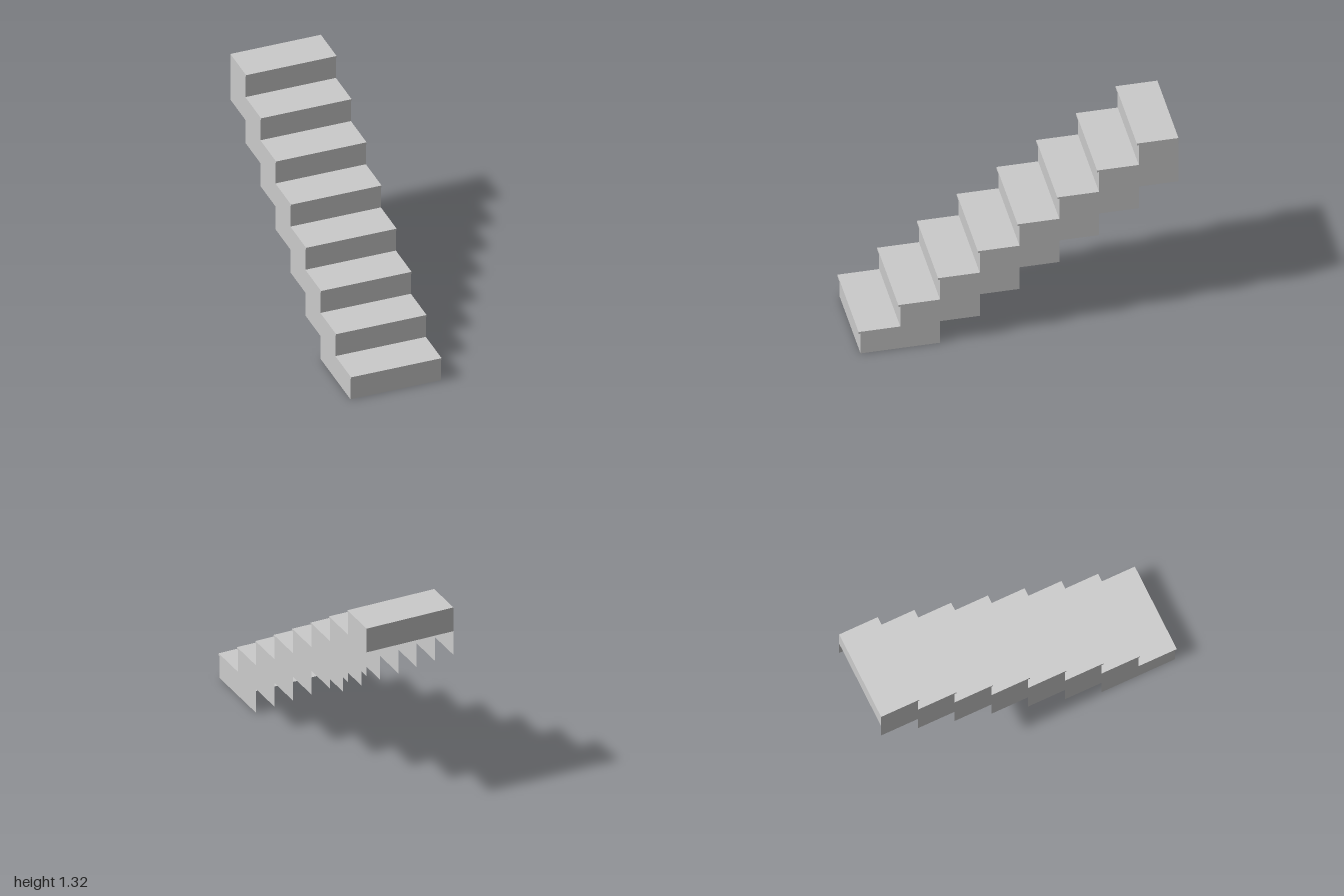
import * as THREE from 'three';

const STEPS = 8;
const HALF = 0.297;          // half the stair width
const RISE = 0.1654;
const RUN = 0.2485;
const FRONT = 0.988;         // z of the first riser
const NOSE = 0.012;          // nosing overhang
const NOSE_H = 0.014;        // nosing height

const material = new THREE.MeshStandardMaterial({
  color: 0xcccccc, flatShading: true, side: THREE.DoubleSide,
});
const riserZ = (i) => FRONT - i * RUN;

// Sheet spanning the stair width along a [z, y] profile
function sheet(name, profile) {
  const pos = [];
  for (let i = 0; i + 1 < profile.length; i++) {
    const [[z0, y0], [z1, y1]] = [profile[i], profile[i + 1]];
    const a = [-HALF, y0, z0], b = [HALF, y0, z0];
    const c = [HALF, y1, z1], d = [-HALF, y1, z1];
    pos.push(...a, ...b, ...c, ...a, ...c, ...d);
  }
  const geo = new THREE.BufferGeometry();
  geo.setAttribute('position', new THREE.Float32BufferAttribute(pos, 3));
  geo.computeVertexNormals();
  const mesh = new THREE.Mesh(geo, material);
  mesh.name = name;
  return mesh;
}

// Zigzag side wall: stepped with nosings above, stepped two runs deep below
function sideWall(name, x) {
  const pts = [[FRONT, 0]];
  for (let i = 0; i < STEPS; i++) {
    const z = riserZ(i), top = (i + 1) * RISE;
    pts.push([z, top - NOSE_H], [z + NOSE, top - NOSE_H], [z + NOSE, top], [riserZ(i + 1), top]);
  }
  for (let i = STEPS; i >= 2; i--) {
    const y = (i - 2) * RISE;
    pts.push([riserZ(i), y]);
    if (i > 2) pts.push([riserZ(i - 1), y]);
  }
  const shape = new THREE.Shape(pts.map(([z, y]) => new THREE.Vector2(z, y)));
  const geo = new THREE.ShapeGeometry(shape).rotateY(-Math.PI / 2);
  if (x > 0) geo.scale(-1, 1, 1).index.array.reverse();
  geo.computeVertexNormals();
  const mesh = new THREE.Mesh(geo, material);
  mesh.name = name;
  mesh.position.x = x;
  return mesh;
}

export function createModel() {
  const group = new THREE.Group();
  group.name = 'staircase';

  // Riser, nosing and tread of each step
  for (let i = 0; i < STEPS; i++) {
    const z = riserZ(i), top = (i + 1) * RISE;
    const step = new THREE.Group();
    step.name = `step${i + 1}`;
    step.add(
      sheet('riser', [[z, i * RISE], [z, top - NOSE_H]]),
      sheet('nosing', [[z, top - NOSE_H], [z + NOSE, top - NOSE_H], [z + NOSE, top]]),
      sheet('tread', [[z + NOSE, top], [riserZ(i + 1), top]]),
    );
    group.add(step);
  }

  // Panel closing the back of the top step, and the floor of the first step
  const back = riserZ(STEPS);
  group.add(sheet('backPanel', [[back, STEPS * RISE], [back, (STEPS - 1) * RISE]]));
  group.add(sheet('basePlate', [[riserZ(1), 0], [FRONT, 0]]));

  // Side walls
  group.add(sideWall('leftWall', HALF), sideWall('rightWall', -HALF));
  return group;
}
